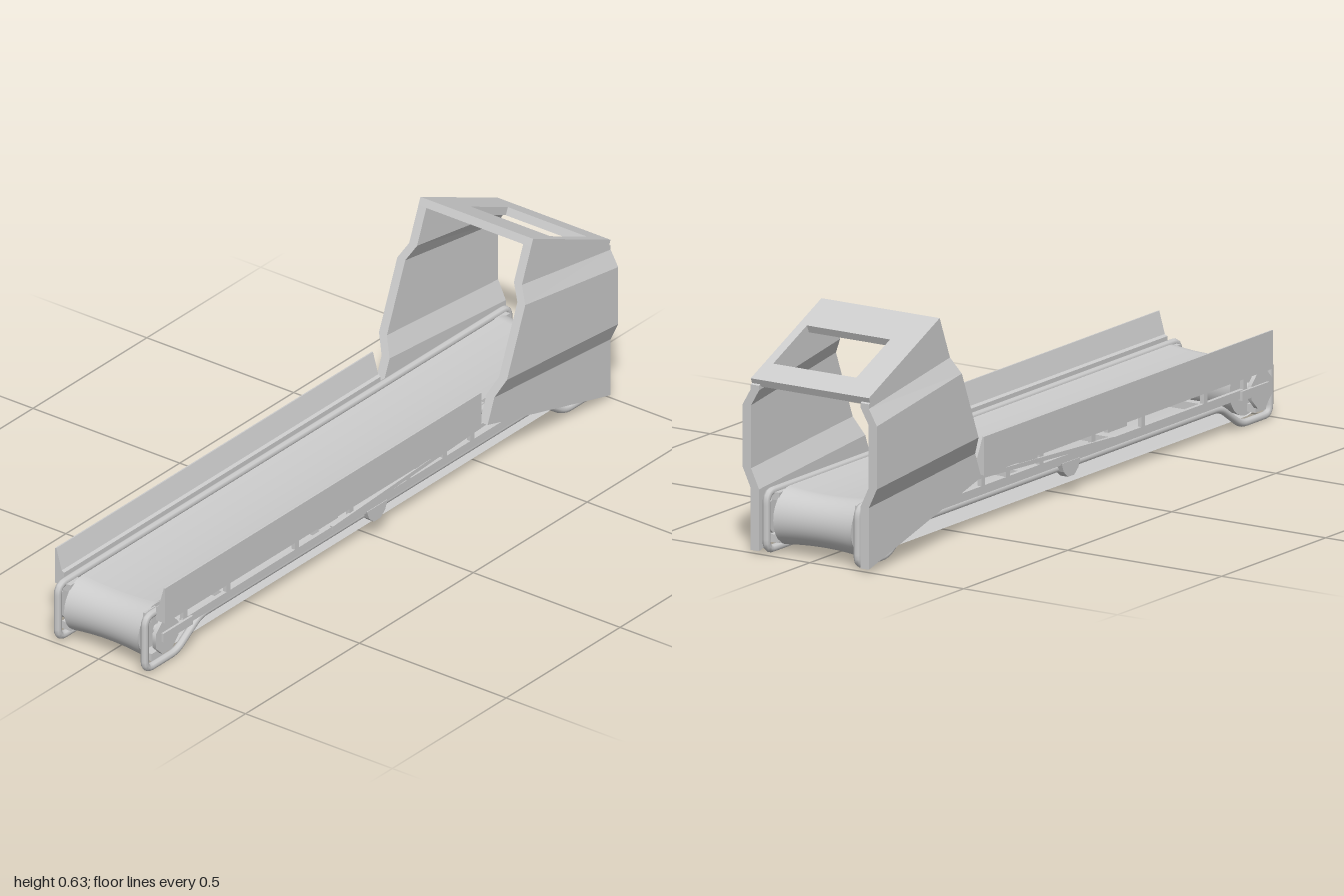
import * as THREE from 'three';
import { toCreasedNormals } from 'three/addons/utils/BufferGeometryUtils.js';

const mat = new THREE.MeshStandardMaterial({ color: 0xcccccc });
const thin = new THREE.MeshStandardMaterial({ color: 0xcccccc, side: THREE.DoubleSide });

export function createModel() {
  const root = new THREE.Group();
  root.name = 'beltConveyor';

  const add = (name, geo, x = 0, y = 0, z = 0, m = mat) => {
    const mesh = new THREE.Mesh(geo, m);
    mesh.name = name;
    mesh.position.set(x, y, z);
    root.add(mesh);
    return mesh;
  };
  const box = (name, w, h, d, x, y, z) => add(name, new THREE.BoxGeometry(w, h, d), x, y, z);
  const disc = (name, r, len, sides, x, y, z) =>
    add(name, new THREE.CylinderGeometry(r, r, len, sides).rotateZ(Math.PI / 2), x, y, z);
  const vec = ([x, y]) => new THREE.Vector2(x, y);

  const HALF = 0.91, AXIS = 0.097, R = 0.081, W = 0.125;
  const sag = x => 0.008 * (1 - (x / W) ** 2);

  // Belt: a loop around two waisted end rollers
  const loop = [];
  for (let i = 0; i <= 24; i++) {
    const a = Math.PI / 2 - Math.PI * i / 24;
    loop.push([HALF, Math.cos(a), Math.sin(a)]);
  }
  for (let i = 0; i <= 24; i++) {
    const a = -Math.PI / 2 - Math.PI * i / 24;
    loop.push([-HALF, Math.cos(a), Math.sin(a)]);
  }
  loop.push(loop[0]);
  const COLS = 16, pos = [], idx = [];
  loop.forEach(([c, cz, cy], i) => {
    for (let j = 0; j <= COLS; j++) {
      const x = -W + 2 * W * j / COLS, r = R - sag(x);
      pos.push(x, AXIS + r * cy, c + r * cz);
      if (i && j) {
        const p = (i - 1) * (COLS + 1) + j - 1, q = p + COLS + 1;
        idx.push(p, q, p + 1, p + 1, q, q + 1);
      }
    }
  });
  const beltGeo = new THREE.BufferGeometry();
  beltGeo.setAttribute('position', new THREE.Float32BufferAttribute(pos, 3));
  beltGeo.setIndex(idx);
  beltGeo.computeVertexNormals();
  add('belt', beltGeo, 0, 0, 0, thin);

  // End rollers with axles
  const rollerProfile = [vec([0, -W])];
  for (let i = 0; i <= 12; i++) {
    const x = -W + 2 * W * i / 12;
    rollerProfile.push(vec([R - 0.004 - sag(x), x]));
  }
  rollerProfile.push(vec([0, W]));
  for (const z of [HALF, -HALF]) {
    const g = toCreasedNormals(new THREE.LatheGeometry(rollerProfile, 32).rotateZ(Math.PI / 2), 0.6);
    add('roller', g, 0, AXIS, z);
    disc('rollerAxle', 0.014, 0.35, 16, 0, AXIS, z);
  }

  // Closed path with rounded corners in the z-y plane
  const roundedPath = (pts, r) => {
    const v = pts.map(([z, y]) => new THREE.Vector3(0, y, z));
    const path = new THREE.CurvePath();
    const ends = v.map((p, i) => {
      const toward = q => p.clone().add(q.clone().sub(p).setLength(r));
      return [toward(v[(i + v.length - 1) % v.length]), toward(v[(i + 1) % v.length])];
    });
    v.forEach((p, i) => {
      path.add(new THREE.QuadraticBezierCurve3(ends[i][0], p, ends[i][1]));
      path.add(new THREE.LineCurve3(ends[i][1], ends[(i + 1) % v.length][0]));
    });
    return path;
  };
  const framePath = roundedPath([
    [0.989, 0.171], [0.989, 0.011], [0.85, 0.011], [0.75, 0.077],
    [-0.75, 0.077], [-0.85, 0.011], [-0.989, 0.011], [-0.989, 0.171],
  ], 0.028);
  const frameGeo = new THREE.TubeGeometry(framePath, 400, 0.011, 8, true);

  // Hood side rows, bottom to top: outer x, front y, back y
  const rows = [
    [0.192, 0.15, 0.008], [0.192, 0.222, 0.18], [0.218, 0.275, 0.235],
    [0.218, 0.47, 0.41], [0.192, 0.515, 0.455], [0.192, 0.618, 0.468],
  ];
  const hoodSide = s => {
    const p = [], f = [];
    const tri = (a, b, c) => (s > 0 ? f.push(a, b, c) : f.push(a, c, b));
    rows.forEach(([x, yf, yb], i) => {
      const zf = -0.46 - (yf - 0.15) * 0.412, xi = x - 0.027;
      p.push(s * x, yf, zf, s * x, yb, -1, s * xi, yb, -1, s * xi, yf, zf);
      if (i) for (let j = 0; j < 4; j++) {
        const a = (i - 1) * 4 + j, b = (i - 1) * 4 + (j + 1) % 4;
        tri(a, b, b + 4);
        tri(a, b + 4, a + 4);
      }
    });
    const t = (rows.length - 1) * 4;
    tri(0, 2, 1); tri(0, 3, 2);
    tri(t, t + 1, t + 2); tri(t, t + 2, t + 3);
    const g = new THREE.BufferGeometry();
    g.setAttribute('position', new THREE.Float32BufferAttribute(p, 3));
    g.setIndex(f);
    const flat = g.toNonIndexed();
    flat.computeVertexNormals();
    return flat;
  };

  for (const s of [1, -1]) {
    const side = s > 0 ? 'left' : 'right';
    add(side + 'TubeFrame', frameGeo, s * 0.148);
    add(side + 'HoodPanel', hoodSide(s));

    // Side guard with a thick foot and a thin leaning top
    const guard = new THREE.Shape([
      [0.157, 0.15], [0.187, 0.15], [0.187, 0.257], [0.183, 0.257], [0.165, 0.195], [0.157, 0.19],
    ].map(([x, y]) => new THREE.Vector2(s * x, y)));
    add(side + 'Guard', new THREE.ExtrudeGeometry(guard, { depth: 1.39, bevelEnabled: false }), 0, 0, -0.44);

    // Long rail, sloping rear brace and guard posts
    box(side + 'Rail', 0.012, 0.024, 1.7, s * 0.165, 0.103, 0);
    const brace = box(side + 'Brace', 0.01, 0.012, 0.8, s * 0.172, 0.133, -0.2);
    brace.rotation.x = 0.05;
    for (const z of [0.84, 0.65, 0.35, 0.11, -0.14, -0.3, -0.42])
      box(side + 'GuardPost', 0.012, 0.05, 0.018, s * 0.165, 0.135, z);
    box(side + 'GuardClip', 0.014, 0.018, 0.09, s * 0.168, 0.144, 0.22);
    box(side + 'GuardClip', 0.014, 0.018, 0.09, s * 0.168, 0.144, -0.21);

    // Octagonal bearings with slotted arms and frame tabs at both ends
    for (const e of [1, -1]) {
      disc(side + 'Bearing', 0.054, 0.012, 8, s * 0.165, AXIS, e * 0.92).rotation.x = Math.PI / 8;
      box(side + 'BearingArm', 0.012, 0.026, 0.13, s * 0.172, 0.1, e * 0.88);
      for (const y of [0.158, 0.04])
        box(side + 'FrameTab', 0.03, 0.022, 0.05, s * 0.138, y, e * 0.94);
    }

    // Middle bracket hanging below the rail
    const bracket = new THREE.Shape([
      [-0.045, 0.095], [-0.035, 0.07], [-0.015, 0.053], [0.015, 0.053], [0.035, 0.07], [0.045, 0.095],
    ].map(vec));
    add(side + 'MiddleBracket', new THREE.ExtrudeGeometry(bracket, { depth: 0.026, bevelEnabled: false })
      .rotateY(Math.PI / 2), s * 0.16 - 0.013);
  }

  // Cross members inside the belt
  for (const z of [0.65, 0.22, -0.22, -0.65]) box('crossMember', 0.33, 0.022, 0.025, 0, 0.103, z);

  // Sloping hood roof with an off-centre window
  const L = Math.hypot(0.34, 0.15);
  const roof = new THREE.Shape([[-0.192, 0], [0.192, 0], [0.192, L], [-0.192, L]].map(vec));
  roof.holes.push(new THREE.Path([[-0.105, 0.12], [-0.105, 0.297], [0.165, 0.297], [0.165, 0.12]].map(vec)));
  const roofGeo = new THREE.ExtrudeGeometry(roof, { depth: 0.023, bevelEnabled: false })
    .rotateX(-Math.PI / 2).translate(0, -0.023, 0);
  add('hoodRoof', roofGeo, 0, 0.635, -0.66).rotation.x = -Math.atan2(0.15, 0.34);

  return root;
}
